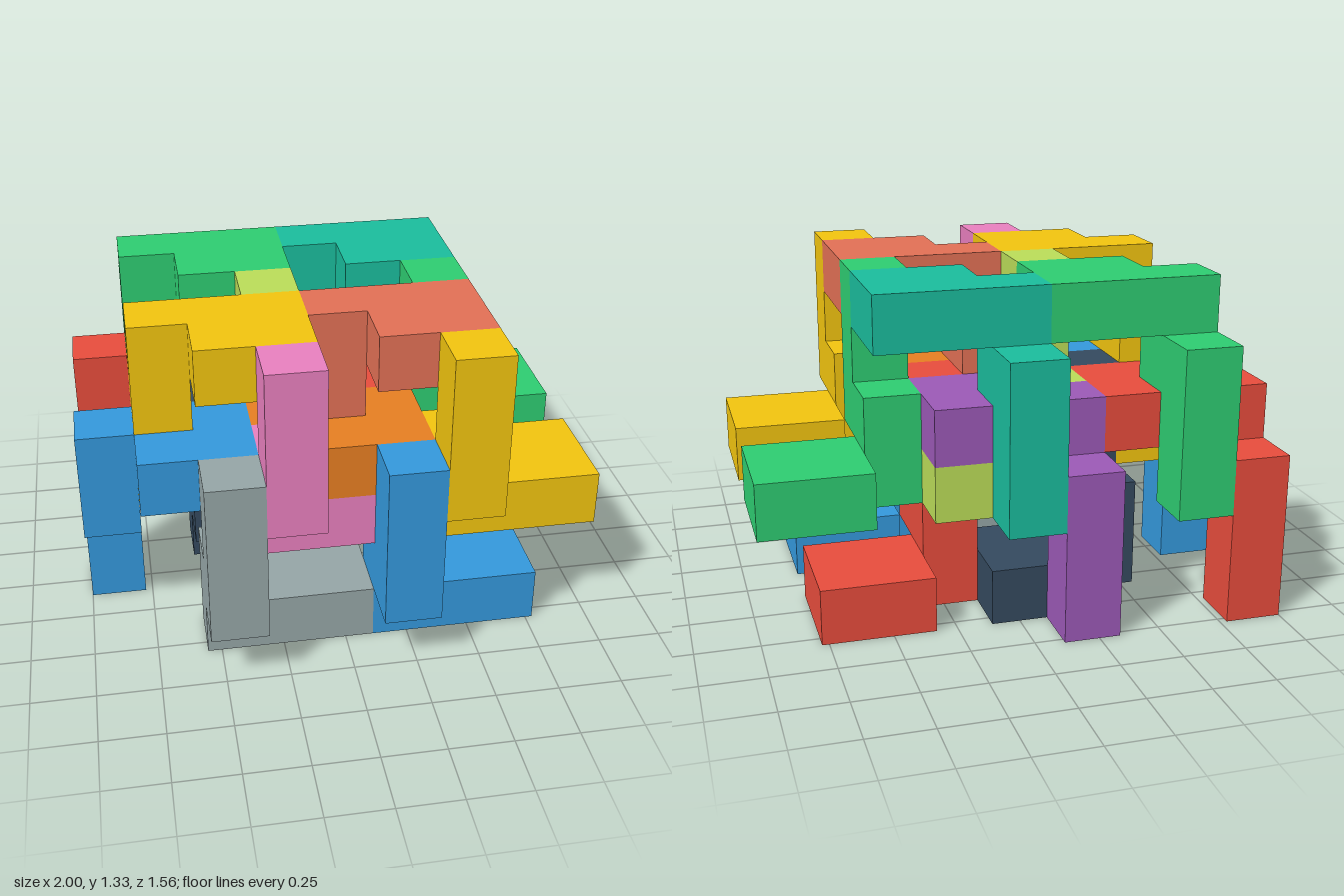
import * as THREE from 'three';
import { mergeGeometries } from 'three/addons/utils/BufferGeometryUtils.js';

// Edge of one cube cell: the assembly is 9 x 6 x 7 cells
const U = 2 / 9;

const BLUE = 0x3498db, RED = 0xe74c3c, YELLOW = 0xf1c40f, GREEN = 0x2ecc71;
const GREY = 0x95a5a6, NAVY = 0x34495e, PINK = 0xe87fbe, LIME = 0xbadc58;
const TEAL = 0x1abc9c, SALMON = 0xe17055, PURPLE = 0x9b59b6, ORANGE = 0xe67e22;

// Colours in the order column, layer, row (see the loops below)
const UPRIGHT = [BLUE, RED, YELLOW, GREEN, GREY, NAVY, PINK, LIME];
const INVERTED = [TEAL, SALMON, PURPLE, ORANGE, GREEN, YELLOW, RED, BLUE];

function block(w, h, d, x, y, z) {
  return new THREE.BoxGeometry(w * U, h * U, d * U).translate(x * U, y * U, z * U);
}

// One nine-cell piece, with its origin at the centre of the corner cell
function pieceGeometry() {
  return mergeGeometries([
    block(2, 1, 2, 1.5, 0, -0.5), // square plate
    block(1, 2, 1, 0, 0.5, 0),    // elbow
    block(1, 3, 1, 0, 2, 1),      // post
  ]);
}

export function createModel() {
  const model = new THREE.Group();
  model.name = 'interlockingPieces';
  const geometry = pieceGeometry();

  // Place a piece with its corner cell at grid cell (i, j, k)
  function addPiece(name, color, i, j, k, inverted) {
    const mesh = new THREE.Mesh(geometry, new THREE.MeshStandardMaterial({ color }));
    mesh.name = name;
    mesh.position.set((i - 4) * U, (j + 0.5) * U, (k - 3) * U);
    if (inverted) mesh.rotation.x = Math.PI;
    model.add(mesh);
  }

  // Eight upright pieces and eight turned upside down, each on a 2 x 2 x 2 lattice
  for (let col = 0; col < 2; col++) {
    for (let layer = 0; layer < 2; layer++) {
      for (let row = 0; row < 2; row++) {
        const n = col * 4 + layer * 2 + row;
        addPiece(`uprightPiece${n + 1}`, UPRIGHT[n],
          5 - 3 * col + layer, 2 * layer, 5 - 3 * row, false);
        addPiece(`invertedPiece${n + 1}`, INVERTED[n],
          4 - 3 * col - layer, 5 - 2 * layer, 1 + 3 * row, true);
      }
    }
  }
  return model;
}
